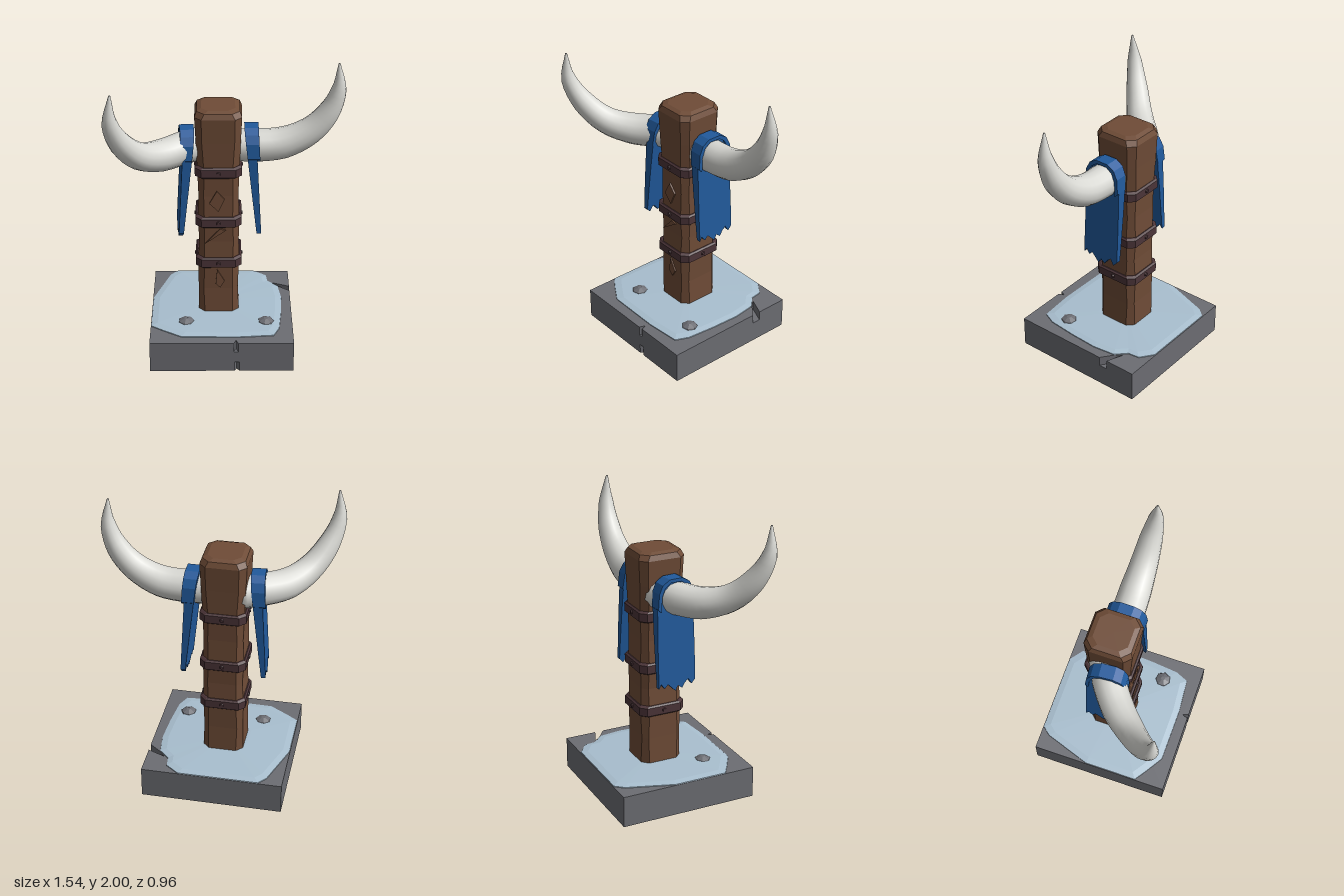
import * as THREE from 'three';

const mat = (name, color, flatShading = false) => {
  const m = new THREE.MeshStandardMaterial({ color, flatShading });
  m.name = name;
  return m;
};
const V = (x, y, z) => new THREE.Vector3(x, y, z);

// Skin a stack of closed rings and cap both ends.
function loft(rings) {
  const n = rings[0].length, pos = [], idx = [];
  const centre = (r) => r.reduce((a, p) => a.add(p), V(0, 0, 0)).divideScalar(n);
  for (const r of rings) for (const p of r) pos.push(p.x, p.y, p.z);
  for (const r of [rings[0], rings[rings.length - 1]]) {
    const c = centre(r);
    pos.push(c.x, c.y, c.z);
  }
  const last = (rings.length - 1) * n, bottom = rings.length * n;
  for (let j = 0; j < n; j++) {
    const k = (j + 1) % n;
    for (let i = 0; i < rings.length - 1; i++) {
      const a = i * n + j, b = i * n + k;
      idx.push(a, a + n, b, b, a + n, b + n);
    }
    idx.push(bottom, j, k, bottom + 1, last + k, last + j);
  }
  const g = new THREE.BufferGeometry();
  g.setAttribute('position', new THREE.Float32BufferAttribute(pos, 3));
  g.setIndex(idx);
  g.computeVertexNormals();
  return g;
}

const CX = -0.05, CZ = -0.038;

// Rectangle with cut corners around the post axis.
function octagon(y, hx, hz, c, dx = 0) {
  return [[hx, -hz + c], [hx, hz - c], [hx - c, hz], [-hx + c, hz],
    [-hx, hz - c], [-hx, -hz + c], [-hx + c, -hz], [hx - c, -hz]]
    .map(([x, z]) => V(CX + dx + x, y, CZ + z));
}

export function createModel() {
  const stone = mat('stone', 0x6c6d73, true);
  const snow = mat('snow', 0xa9bfcf, true);
  const wood = mat('wood', 0x6f4c37, true);
  const strap = mat('dark strap', 0x4b3438, true);
  const blue = mat('blue cloth', 0x215a9c, true);
  const ivory = mat('ivory', 0xd9d9d4);

  const model = new THREE.Group();
  const add = (name, geo, material, parent = model) => {
    const m = new THREE.Mesh(geo, material);
    m.name = name;
    parent.add(m);
    return m;
  };

  // Stone slab in three layers, some with chipped edges
  const slab = new THREE.Group();
  slab.name = 'stoneSlab';
  model.add(slab);
  const layer = (y0, y1, front, side) => {
    const pts = [[-0.51, 0.48], ...front, [0.45, 0.48], ...side, [0.45, -0.48], [-0.51, -0.48]];
    const s = new THREE.Shape(pts.map(([x, z]) => new THREE.Vector2(x, -z)));
    const g = new THREE.ExtrudeGeometry(s, { depth: y1 - y0, bevelEnabled: false });
    g.rotateX(-Math.PI / 2).translate(0, y0, 0);
    add('slabLayer', g, stone, slab);
  };
  layer(0, 0.07, [[0.055, 0.48], [0.07, 0.455], [0.09, 0.48]], []);
  layer(0.07, 0.15, [], []);
  layer(0.15, 0.217, [[0.05, 0.48], [0.065, 0.44], [0.08, 0.48]],
    [[0.45, -0.2], [0.36, -0.27], [0.33, -0.31], [0.45, -0.26]]);

  // Snow sheet, slightly domed towards the post
  const edge = [[-0.35, -0.478], [0.2, -0.478], [0.29, -0.41], [0.3, -0.33], [0.37, -0.26],
    [0.39, -0.1], [0.38, 0.1], [0.36, 0.3], [0.32, 0.39], [0.2, 0.4], [0.08, 0.41],
    [-0.3, 0.405], [-0.42, 0.33], [-0.508, 0.27], [-0.508, -0.1], [-0.43, -0.33], [-0.4, -0.42]];
  const snowRing = (y, k) => edge.map(([x, z]) => V(CX + (x - CX) * k, y, CZ + (z - CZ) * k));
  add('snowSheet', loft([snowRing(0.212, 1), snowRing(0.222, 0.995), snowRing(0.23, 0.9),
    snowRing(0.238, 0.35)]), snow);

  // Small stones poking through the snow
  for (const x of [-0.27, 0.27]) {
    const ring = (y, r) => Array.from({ length: 7 }, (_, i) => {
      const a = i / 7 * Math.PI * 2;
      return V(x + Math.cos(a) * r, y, 0.22 + Math.sin(a) * r);
    });
    add('pebble', loft([ring(0.215, 0.065), ring(0.238, 0.05), ring(0.253, 0.015)]), stone);
  }

  // Hewn post
  add('post', loft([
    octagon(0.2, 0.138, 0.145, 0.045), octagon(0.42, 0.133, 0.14, 0.035, -0.003),
    octagon(0.62, 0.138, 0.145, 0.045), octagon(0.78, 0.132, 0.14, 0.035, 0.003),
    octagon(0.93, 0.138, 0.145, 0.045), octagon(1.12, 0.132, 0.141, 0.035),
    octagon(1.29, 0.138, 0.146, 0.045), octagon(1.5, 0.146, 0.152, 0.04),
    octagon(1.67, 0.154, 0.16, 0.045), octagon(1.705, 0.14, 0.145, 0.05),
    octagon(1.717, 0.11, 0.115, 0.045)]), wood);

  // Raised wood chips on the front
  const chip = (pts) => {
    const s = new THREE.Shape(pts.map(([x, y]) => new THREE.Vector2(x, y)));
    const g = new THREE.ExtrudeGeometry(s, { depth: 0.015, bevelEnabled: false });
    add('woodChip', g.translate(0, 0, 0.1), wood);
  };
  chip([[-0.06, 1.16], [-0.01, 1.1], [-0.05, 1.01], [-0.11, 1.07]]);
  chip([[-0.06, 0.57], [-0.01, 0.48], [-0.04, 0.43], [-0.07, 0.46]]);
  chip([[-0.04, 0.88], [0, 0.87], [-0.07, 0.82], [-0.14, 0.77]]);

  // Straps with rivets
  for (const y of [0.622, 0.928, 1.29]) {
    const h = 0.038;
    add('strap', loft([octagon(y - h, 0.143, 0.15, 0.04), octagon(y - h + 0.01, 0.154, 0.162, 0.04),
      octagon(y + h - 0.01, 0.154, 0.162, 0.04), octagon(y + h, 0.143, 0.15, 0.04)]), strap);
    for (let i = 0; i < 4; i++) {
      const a = i * Math.PI / 2, d = i % 2 ? 0.154 : 0.162;
      const rivet = add('rivet', new THREE.CylinderGeometry(0.012, 0.018, 0.016, 6).rotateX(Math.PI / 2), strap);
      rivet.position.set(CX + Math.sin(a) * d, y, CZ + Math.cos(a) * d);
      rivet.rotation.y = a;
    }
  }

  // Horns: tapering round sections along a curve
  const horn = (name, pts, radii) => {
    const curve = new THREE.CatmullRomCurve3(pts.map((p) => V(...p)));
    const side = V(pts[6][0] - pts[0][0], 0, pts[6][2] - pts[0][2]).cross(V(0, 1, 0)).normalize();
    const steps = 24, rings = [];
    for (let i = 0; i <= steps; i++) {
      const t = i / steps, f = t * (radii.length - 1), k = Math.min(Math.floor(f), radii.length - 2);
      const r = THREE.MathUtils.lerp(radii[k], radii[k + 1], f - k);
      const p = curve.getPoint(t), up = curve.getTangent(t).cross(side).normalize();
      rings.push(Array.from({ length: 14 }, (_, j) => {
        const a = j / 14 * Math.PI * 2;
        return p.clone().addScaledVector(up, Math.cos(a) * r).addScaledVector(side, Math.sin(a) * r);
      }));
    }
    add(name, loft(rings), ivory);
  };
  const radii = [0.105, 0.11, 0.105, 0.09, 0.075, 0.05, 0.006];
  horn('leftHorn', [[0.04, 1.43, -0.035], [0.2, 1.427, -0.035], [0.38, 1.445, -0.038],
    [0.55, 1.53, -0.037], [0.665, 1.66, -0.035], [0.725, 1.82, -0.028], [0.722, 2.0, -0.02]], radii);
  horn('rightHorn', [[-0.1, 1.435, -0.09], [-0.26, 1.43, 0.0], [-0.42, 1.425, 0.12],
    [-0.55, 1.48, 0.25], [-0.655, 1.61, 0.355], [-0.715, 1.78, 0.425], [-0.706, 1.97, 0.44]], radii);

  // Cloths draped over the horns, torn at the hem
  const inner = (y) => 0.165 + Math.max(0, 1.565 - y) * 0.115;
  const thick = (y) => 0.03 + Math.max(0, y - 0.82) * 0.06;
  const arch = [[0.138, 1.0], [0.136, 1.2], [0.132, 1.38], [0.122, 1.48], [0.095, 1.535], [0.045, 1.565]];
  const mirrored = arch.map(([u, y]) => [-u, y]).reverse();
  const hem = [[-0.138, 0.84], [-0.12, 0.87], [-0.095, 0.835], [-0.07, 0.86], [-0.04, 0.83],
    [-0.015, 0.805], [0.005, 0.84], [0.035, 0.815], [0.06, 0.85], [0.085, 0.87], [0.11, 0.83], [0.138, 0.86]];
  const vec = (pts) => pts.map(([u, y]) => new THREE.Vector2(u, y));
  const drape = (s, shape, grow) => {
    const g = new THREE.ExtrudeGeometry(shape, { depth: 1, bevelEnabled: false });
    const p = g.attributes.position;
    for (let i = 0; i < p.count; i++) {
      const u = p.getX(i), y = p.getY(i), d = p.getZ(i);
      p.setXYZ(i, s * (inner(y) + d * (thick(y) + grow)), y, -s * u);
    }
    g.computeVertexNormals();
    return g;
  };
  for (const s of [1, -1]) {
    const cloth = new THREE.Group();
    cloth.name = s > 0 ? 'leftCloth' : 'rightCloth';
    cloth.position.set(-0.045, 0, s > 0 ? CZ : -0.025);
    cloth.rotation.y = s > 0 ? 0 : 0.08;
    model.add(cloth);
    add('clothPanel', drape(s, new THREE.Shape(vec([...hem, ...arch, ...mirrored])), 0), blue, cloth);
    // Rolled rim over the top
    const top = arch.slice(2), rim = [...top, ...mirrored.slice(0, 4)];
    const outer = rim.map(([u, y]) => [u * 1.03, y + 0.003]);
    const inside = rim.map(([u, y]) => [u * 0.86, y - 0.02]).reverse();
    add('clothRim', drape(s, new THREE.Shape(vec([...outer, ...inside])), 0.018), blue, cloth);
  }
  return model;
}
